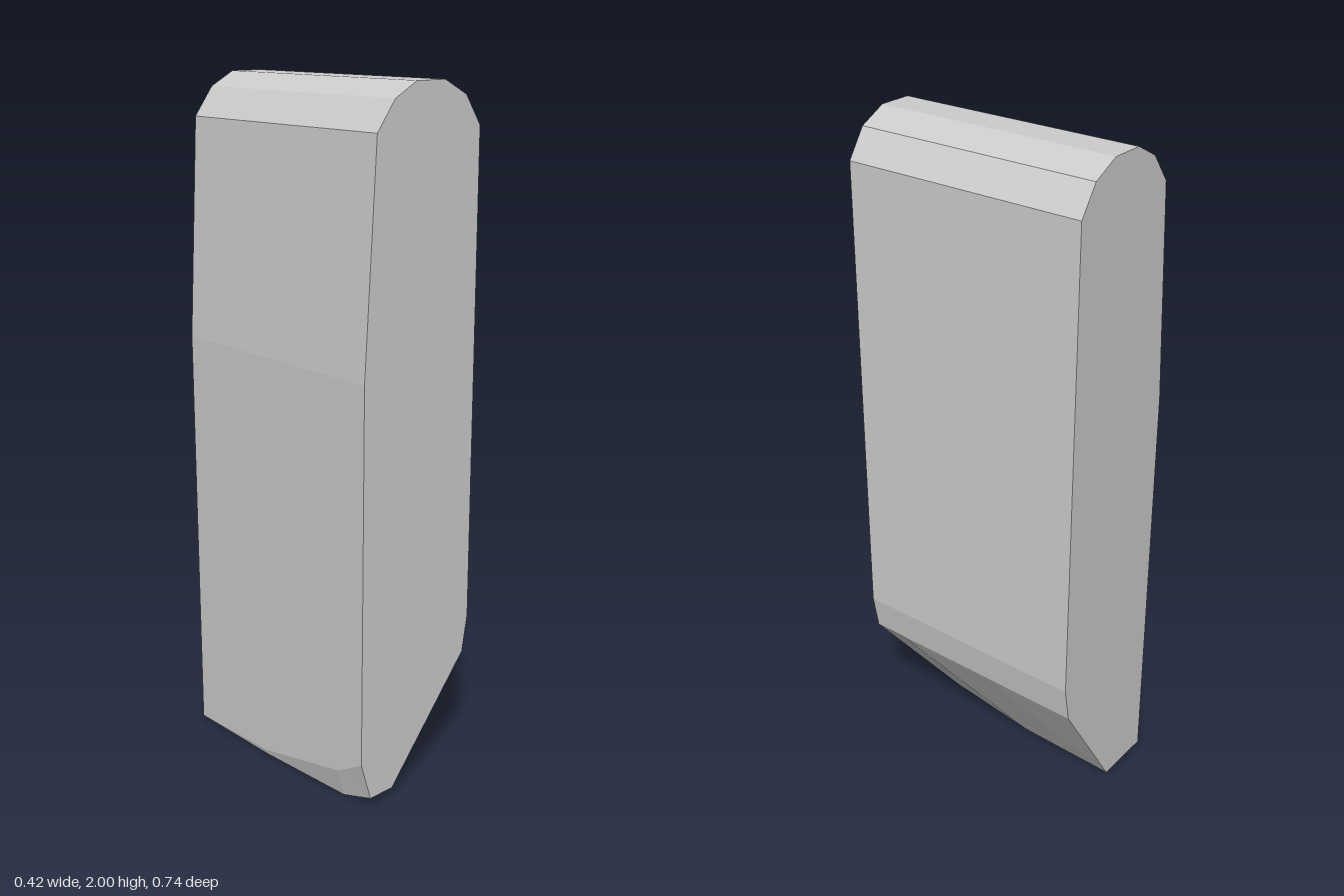
import * as THREE from 'three';

// Cross-section at depth z; only the bottom three corners change along the depth.
function section([z, rightX, bottomY, leftX, sideY]) {
  return [
    [-0.175, 1.88], [-0.115, 1.96], [-0.04, 2], [0.06, 2], [0.14, 1.96], [0.195, 1.88],
    [0.208, 0.48], [0.19, 0.37],
    [rightX, bottomY], [leftX, bottomY], [-0.211, sideY], [-0.211, 1.25],
  ].map(([x, y]) => [x, y, z]);
}

export function createModel() {
  // z, right bottom x, bottom y, left bottom x, left corner y
  const sections = [
    [0.37, -0.09, 0.03, -0.175, 0.15],
    [0.27, -0.077, 0, -0.185, 0.09],
    [-0.05, -0.037, 0, -0.207, 0.015],
    [-0.37, -0.03, 0, -0.211, 0.002],
  ].map(section);
  const n = sections[0].length;
  const positions = [];
  const tri = (a, b, c) => positions.push(...a, ...b, ...c);

  // Side walls, rounded top and chamfered bottom
  for (let k = 0; k < sections.length - 1; k++) {
    const front = sections[k], back = sections[k + 1];
    for (let i = 0; i < n; i++) {
      const j = (i + 1) % n;
      tri(front[i], front[j], back[j]);
      tri(front[i], back[j], back[i]);
    }
  }

  // Flat front and back faces
  const first = sections[0], last = sections[sections.length - 1];
  for (let i = 1; i < n - 1; i++) {
    tri(first[0], first[i + 1], first[i]);
    tri(last[0], last[i], last[i + 1]);
  }

  const geometry = new THREE.BufferGeometry();
  geometry.setAttribute('position', new THREE.Float32BufferAttribute(positions, 3));
  geometry.computeVertexNormals();
  const slab = new THREE.Mesh(
    geometry,
    new THREE.MeshStandardMaterial({ color: 0xcccccc, flatShading: true })
  );
  slab.name = 'slab';

  const group = new THREE.Group();
  group.name = 'chamferedSlab';
  group.add(slab);
  return group;
}
